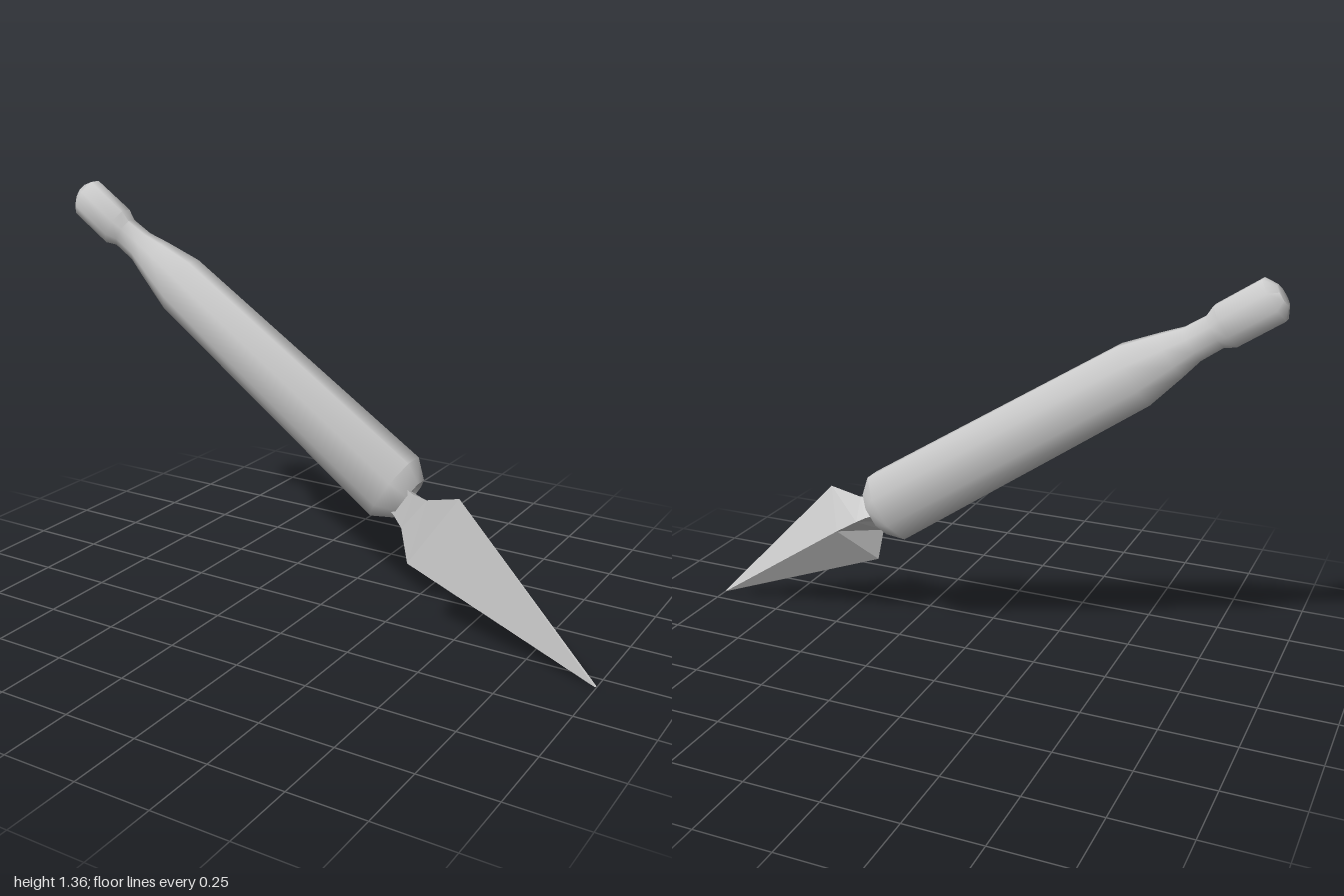
import * as THREE from 'three';
import { toCreasedNormals } from 'three/addons/utils/BufferGeometryUtils.js';

// Skin a list of equal-length rings of points, closing both ends.
function loft(rings) {
  const n = rings[0].length;
  const pos = rings.flat().flatMap((p) => [p.x, p.y, p.z]);
  const index = [];
  for (let i = 0; i < rings.length - 1; i++) {
    for (let j = 0; j < n; j++) {
      const k = (j + 1) % n;
      const a = i * n + j, b = i * n + k, c = a + n, d = b + n;
      index.push(a, b, d, a, d, c);
    }
  }
  const last = (rings.length - 1) * n;
  for (let j = 1; j < n - 1; j++) {
    index.push(0, j + 1, j);
    index.push(last, last + j, last + j + 1);
  }
  const geo = new THREE.BufferGeometry();
  geo.setAttribute('position', new THREE.Float32BufferAttribute(pos, 3));
  geo.setIndex(index);
  geo.computeVertexNormals();
  return geo;
}

// Slanted handle axis and the direction across it.
const origin = new THREE.Vector3(-0.565, 1.04, 0);
const along = new THREE.Vector3(0.832, -0.555, 0);
const across = new THREE.Vector3(0.555, 0.832, 0);

// Flattened octagon: distance along, half width, back z, front z.
function octagon([t, half, back, front]) {
  const ring = [];
  const r = 1 / Math.cos(Math.PI / 8);
  for (let j = 0; j < 8; j++) {
    const a = ((j + 0.5) * Math.PI) / 4;
    const p = origin.clone().addScaledVector(along, t)
      .addScaledVector(across, Math.cos(a) * r * half);
    p.z = (back + front) / 2 + (Math.sin(a) * r * (front - back)) / 2;
    ring.push(p);
  }
  return ring;
}

function part(name, geometry, flatShading = false) {
  const mesh = new THREE.Mesh(geometry, new THREE.MeshStandardMaterial({
    color: 0xcccccc, flatShading, side: THREE.DoubleSide,
  }));
  mesh.name = name;
  return mesh;
}

export function createModel() {
  const group = new THREE.Group();
  group.name = 'trowel';

  // Handle: pommel, pinched neck, swelling grip and chamfered shoulder.
  const handle = [
    [-0.502, 0.033, -0.05, 0.0],
    [-0.475, 0.068, -0.067, 0.026],
    [-0.315, 0.068, -0.067, 0.031],
    [-0.28, 0.052, -0.058, 0.016],
    [-0.203, 0.054, -0.062, 0.014],
    [-0.13, 0.072, -0.073, 0.026],
    [0, 0.1, -0.088, 0.048],
    [1.008, 0.121, -0.085, 0.084],
    [1.068, 0.078, -0.054, 0.046],
    [1.055, 0.066, -0.045, 0.038],
  ].map(octagon);
  group.add(part('handle', toCreasedNormals(loft(handle), 1.0)));

  // Blade with its tang: flat front, ridged back, drawn out to a point.
  // Each row holds the upper edge, lower edge and back ridge.
  const blade = [
    [[0.32, 0.51, 0.042], [0.26, 0.43, 0.042], [0.3, 0.46, -0.05]],
    [[0.365, 0.485, 0.042], [0.295, 0.405, 0.044], [0.345, 0.44, -0.053]],
    [[0.41, 0.475, 0.04], [0.325, 0.365, 0.044], [0.38, 0.42, -0.052]],
    [[0.52, 0.5, 0.036], [0.35, 0.25, 0.047], [0.46, 0.37, -0.045]],
    [[1, 0.003, 0.055], [0.995, 0, 0.057], [0.995, 0.003, 0.052]],
  ].map((row) => row.map((p) => new THREE.Vector3(...p)));
  group.add(part('blade', loft(blade), true));

  return group;
}
